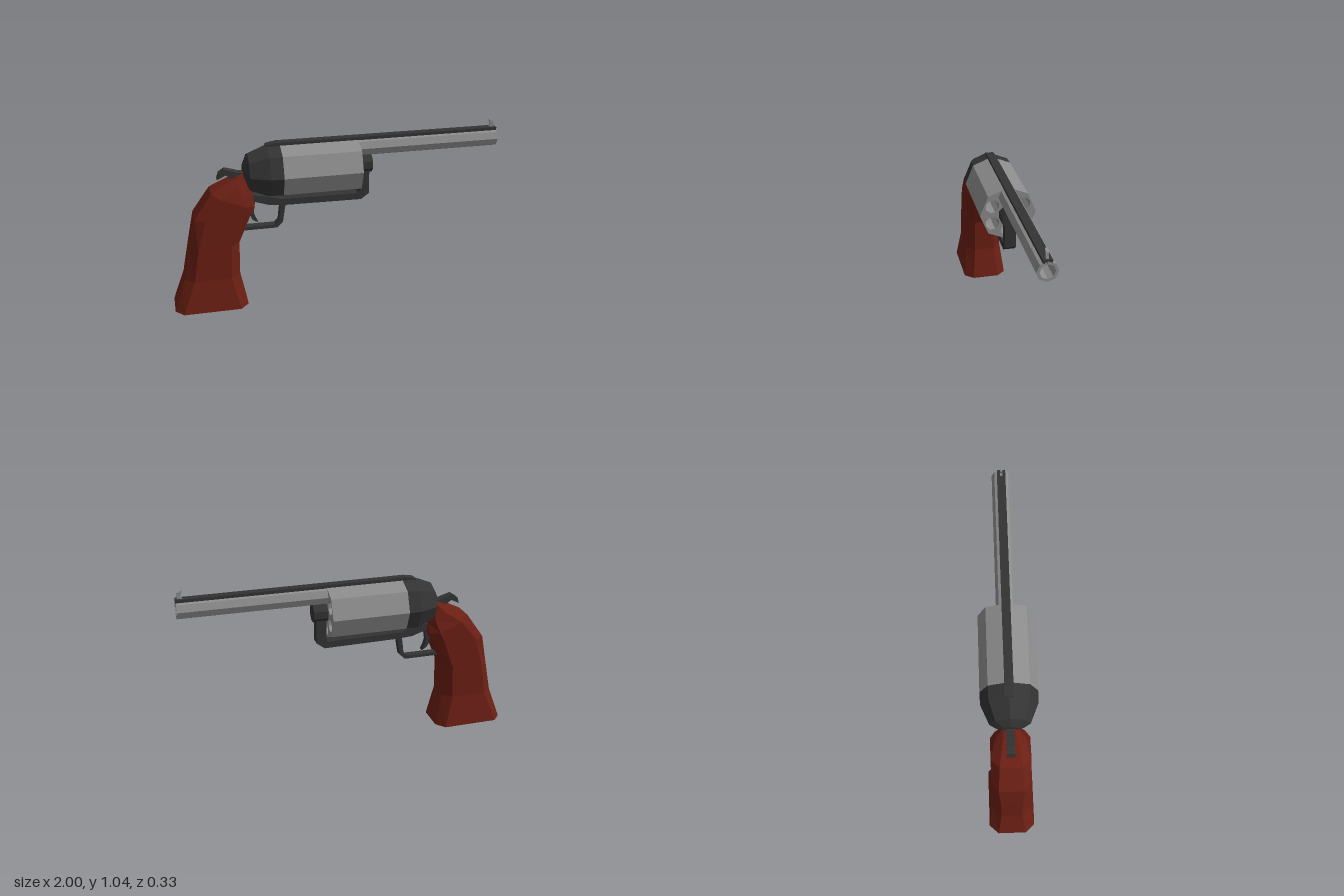
import * as THREE from 'three';

const mat = (color) => new THREE.MeshStandardMaterial({ color, flatShading: true });

// Regular octagon outline
function octagon(Type, cx, cy, r, turn = 0) {
  const pts = [];
  for (let i = 0; i < 8; i++) {
    const a = turn + (i * Math.PI) / 4;
    pts.push(new THREE.Vector2(cx + r * Math.cos(a), cy + r * Math.sin(a)));
  }
  return new Type(pts);
}

// Extrude a shape along x, from x0 to x1
function alongX(shape, x0, x1) {
  const g = new THREE.ExtrudeGeometry(shape, { depth: x1 - x0, bevelEnabled: false });
  return g.rotateY(Math.PI / 2).translate(x0, 0, 0);
}

// Side profile given in x, y with a thickness centred on z = 0
function plate(points, width) {
  const shape = new THREE.Shape(points.map(([x, y]) => new THREE.Vector2(x, y)));
  const g = new THREE.ExtrudeGeometry(shape, { depth: width, bevelEnabled: false });
  return g.translate(0, 0, -width / 2);
}

// Chamfered grip lofted through eight-sided sections
function gripGeometry() {
  // back x, back y, front x, front y, half width, half flat, chamfer
  const sections = [
    [-1.0, 0.0, -0.56, 0.0, 0.14, 0.085, 0.05],
    [-0.93, 0.2, -0.6, 0.2, 0.116, 0.064, 0.055],
    [-0.89, 0.4, -0.595, 0.41, 0.115, 0.064, 0.05],
    [-0.85, 0.58, -0.52, 0.59, 0.115, 0.075, 0.06],
    [-0.745, 0.73, -0.495, 0.63, 0.115, 0.065, 0.06],
    [-0.62, 0.795, -0.5, 0.69, 0.085, 0.045, 0.04],
    [-0.55, 0.83, -0.52, 0.79, 0.045, 0.025, 0.012],
  ];
  const pos = [];
  const index = [];
  for (const [bx, by, fx, fy, w, f, c] of sections) {
    const t = c / Math.hypot(fx - bx, fy - by);
    const ring = [[0, -f], [0, f], [t, w], [1 - t, w], [1, f], [1, -f], [1 - t, -w], [t, -w]];
    for (const [s, z] of ring) pos.push(bx + (fx - bx) * s, by + (fy - by) * s, z);
  }
  const last = (sections.length - 1) * 8;
  for (let r = 0; r < last; r += 8) {
    for (let i = 0; i < 8; i++) {
      const j = (i + 1) % 8;
      index.push(r + i, r + j, r + 8 + i, r + j, r + 8 + j, r + 8 + i);
    }
  }
  for (let i = 1; i < 7; i++) index.push(0, i + 1, i, last, last + i, last + i + 1);
  const g = new THREE.BufferGeometry();
  g.setAttribute('position', new THREE.Float32BufferAttribute(pos, 3));
  g.setIndex(index);
  const flat = g.toNonIndexed();
  flat.computeVertexNormals();
  return flat;
}

export function createModel() {
  const model = new THREE.Group();
  const steel = mat(0x8c8c8c);
  const dark = mat(0x333333);
  const wood = mat(0x6b1f14);
  const add = (name, geometry, material) => {
    const mesh = new THREE.Mesh(geometry, material);
    mesh.name = name;
    model.add(mesh);
    return mesh;
  };
  const axisY = 0.825;

  // Drum with six chambers
  const drum = octagon(THREE.Shape, 0, axisY, 0.165);
  for (let i = 0; i < 6; i++) {
    const a = Math.PI / 2 + (i * Math.PI) / 3;
    drum.holes.push(octagon(THREE.Path, 0.106 * Math.cos(a), axisY + 0.106 * Math.sin(a), 0.041, Math.PI / 8));
  }
  add('drum', alongX(drum, -0.33, 0.135), steel);

  // Barrel with open bore
  const barrel = octagon(THREE.Shape, 0, 0.931, 0.057);
  barrel.holes.push(octagon(THREE.Path, 0, 0.931, 0.041));
  add('barrel', alongX(barrel, 0.13, 1), steel);

  // Rounded frame behind the drum
  const profile = [[0, -0.55], [0.05, -0.55], [0.115, -0.52], [0.163, -0.405], [0.165, -0.33], [0, -0.33]];
  const rear = new THREE.LatheGeometry(profile.map(([r, x]) => new THREE.Vector2(r, x)), 8);
  rear.rotateZ(-Math.PI / 2).translate(0, axisY, 0);
  add('rearFrame', rear, dark);

  // Strap over the drum and barrel, with front sight
  add('topStrap', plate([[-0.42, 0.96], [1, 0.975], [1, 0.995], [-0.35, 0.998], [-0.41, 0.988]], 0.05), dark);
  add('frontSight', plate([[0.955, 0.985], [0.99, 0.985], [0.985, 1.03], [0.957, 1.042], [0.967, 1.015]], 0.014), steel);

  // Lower frame arm rising to the drum pin
  add('lowerFrame', plate([
    [-0.51, 0.69], [-0.5, 0.65], [-0.4, 0.617], [-0.3, 0.61], [0.155, 0.604], [0.203, 0.64],
    [0.203, 0.8], [0.143, 0.8], [0.143, 0.655], [0.135, 0.645], [-0.33, 0.65], [-0.4, 0.672],
  ], 0.066), dark);
  add('drumPin', alongX(octagon(THREE.Shape, 0, axisY, 0.057, Math.PI / 8), 0.13, 0.22), dark);

  // Trigger and its guard
  add('triggerGuard', plate([
    [-0.335, 0.62], [-0.35, 0.505], [-0.372, 0.484], [-0.59, 0.484], [-0.59, 0.464],
    [-0.36, 0.464], [-0.325, 0.497], [-0.305, 0.62],
  ], 0.048), dark);
  add('trigger', plate([
    [-0.525, 0.66], [-0.522, 0.56], [-0.505, 0.525], [-0.472, 0.505], [-0.488, 0.54],
    [-0.497, 0.575], [-0.483, 0.66],
  ], 0.034), dark);

  // Hammer
  add('hammer', plate([
    [-0.53, 0.79], [-0.53, 0.83], [-0.575, 0.833], [-0.655, 0.858], [-0.69, 0.835], [-0.702, 0.798],
    [-0.65, 0.822], [-0.62, 0.8], [-0.6, 0.78],
  ], 0.046), dark);

  // Wooden grip
  add('grip', gripGeometry(), wood);

  return model;
}
